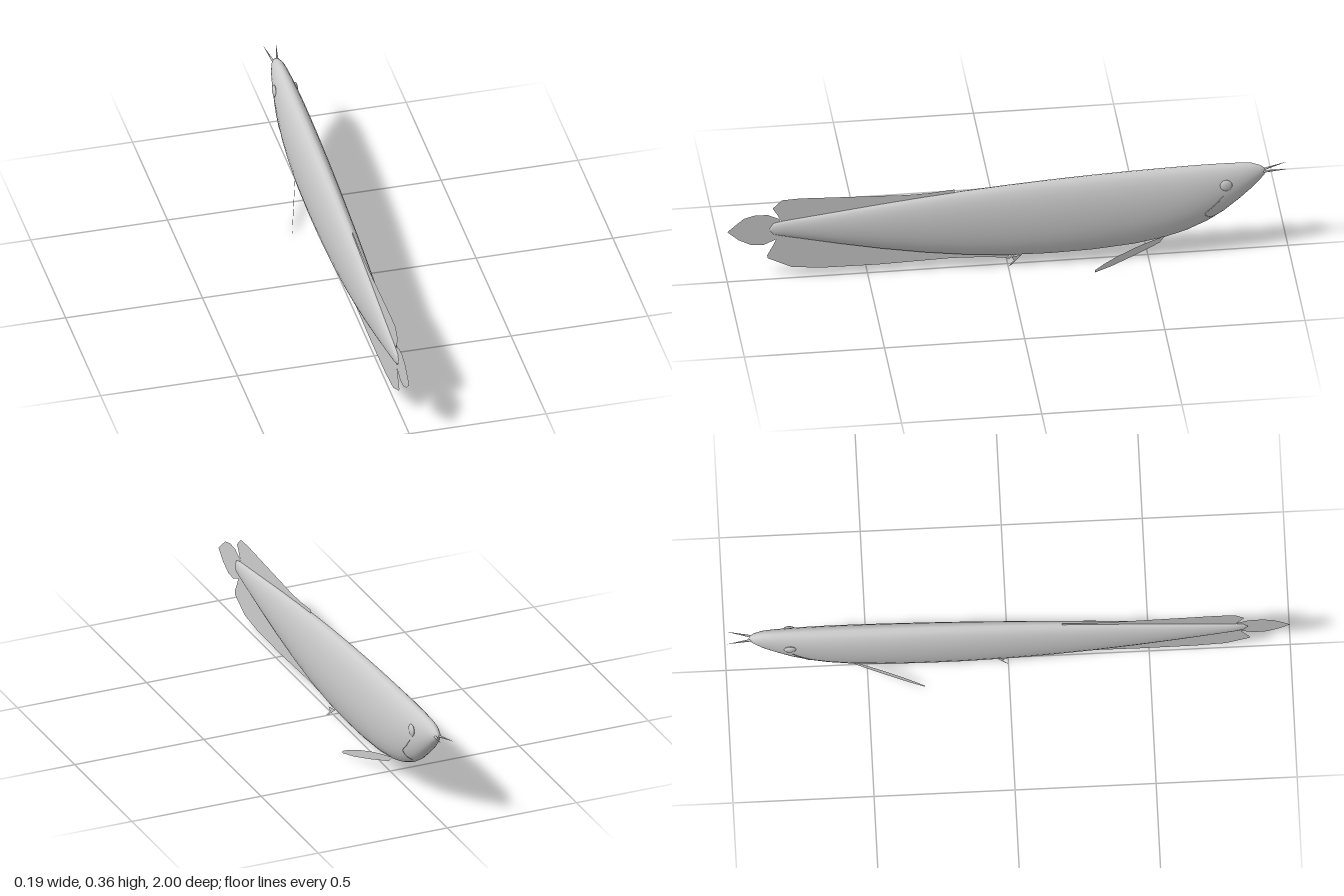
import * as THREE from 'three';

// Body stations, head to tail: z, top y, bottom y, half width
const STATIONS = [
  [-0.92, 0.322, 0.318, 0.001], [-0.915, 0.333, 0.305, 0.01], [-0.9, 0.343, 0.288, 0.018],
  [-0.87, 0.354, 0.255, 0.027], [-0.83, 0.357, 0.218, 0.034], [-0.77, 0.358, 0.168, 0.041],
  [-0.71, 0.358, 0.13, 0.046], [-0.64, 0.357, 0.098, 0.05], [-0.56, 0.355, 0.073, 0.052],
  [-0.45, 0.352, 0.053, 0.053], [-0.3, 0.346, 0.04, 0.052], [-0.15, 0.338, 0.036, 0.05],
  [0, 0.328, 0.039, 0.046], [0.15, 0.316, 0.052, 0.042], [0.3, 0.301, 0.073, 0.037],
  [0.45, 0.284, 0.1, 0.031], [0.6, 0.265, 0.132, 0.024], [0.72, 0.25, 0.16, 0.018],
  [0.8, 0.24, 0.178, 0.013], [0.835, 0.233, 0.187, 0.009], [0.85, 0.21, 0.206, 0.001],
];

// Interpolated body section at z
function section(z) {
  let i = 0;
  while (i < STATIONS.length - 2 && STATIONS[i + 1][0] < z) i++;
  const a = STATIONS[i], b = STATIONS[i + 1];
  const t = (z - a[0]) / (b[0] - a[0]);
  return a.map((v, k) => v + (b[k] - v) * t);
}

// Half width of the body surface at (z, y)
function surfaceX(z, y) {
  const [, top, bottom, w] = section(z);
  const s = (y - (top + bottom) / 2) / ((top - bottom) / 2);
  return w * Math.sqrt(Math.max(0, 1 - s * s));
}

function bodyGeometry() {
  const sides = 24, pos = [], index = [];
  STATIONS.forEach(([z, top, bottom, w], i) => {
    for (let j = 0; j < sides; j++) {
      const a = (j / sides) * Math.PI * 2;
      pos.push(w * Math.cos(a), (top + bottom) / 2 + ((top - bottom) / 2) * Math.sin(a), z);
      if (i === STATIONS.length - 1) continue;
      const p = i * sides + j, q = i * sides + ((j + 1) % sides);
      index.push(p, q, p + sides, q, q + sides, p + sides);
    }
  });
  const g = new THREE.BufferGeometry();
  g.setAttribute('position', new THREE.Float32BufferAttribute(pos, 3));
  g.setIndex(index);
  g.computeVertexNormals();
  return g;
}

// Flat fin from a (z, y) outline; xOf gives its sideways lean
function finGeometry(outline, xOf = () => 0) {
  const g = new THREE.ShapeGeometry(new THREE.Shape(outline.map(([z, y]) => new THREE.Vector2(z, y))));
  const p = g.attributes.position;
  for (let i = 0; i < p.count; i++) {
    const z = p.getX(i);
    p.setXYZ(i, xOf(z), p.getY(i), z);
  }
  g.computeVertexNormals();
  return g;
}

export function createModel() {
  const model = new THREE.Group();
  const skin = new THREE.MeshStandardMaterial({ color: 0xcccccc, side: THREE.DoubleSide });
  skin.name = 'paleGrey';
  const add = (name, geometry) => {
    const mesh = new THREE.Mesh(geometry, skin);
    mesh.name = name;
    model.add(mesh);
    return mesh;
  };

  add('body', bodyGeometry());

  // Fins on the centre line
  add('dorsalFin', finGeometry([
    [0.19, 0.3], [0.19, 0.325], [0.28, 0.317], [0.36, 0.315], [0.46, 0.319], [0.62, 0.325],
    [0.74, 0.33], [0.805, 0.327], [0.838, 0.295], [0.822, 0.268], [0.8, 0.225],
  ]));
  add('analFin', finGeometry([
    [-0.01, 0.045], [0, 0.026], [0.1, 0.035], [0.2, 0.039], [0.32, 0.036], [0.46, 0.032], [0.66, 0.034],
    [0.77, 0.045], [0.855, 0.088], [0.858, 0.1], [0.837, 0.14], [0.81, 0.2], [0.4, 0.125],
  ]));
  add('tailFin', finGeometry([
    [0.8, 0.21], [0.815, 0.25], [0.855, 0.269], [0.9, 0.271], [0.94, 0.26], [0.97, 0.235], [1, 0.208],
    [0.96, 0.172], [0.915, 0.148], [0.87, 0.145], [0.82, 0.168],
  ]));

  // Paired parts
  for (const [label, s] of [['left', 1], ['right', -1]]) {
    add(label + 'PectoralFin', finGeometry([
      [-0.56, 0.085], [-0.54, 0.062], [-0.45, 0.034], [-0.36, 0.01], [-0.3, 0],
      [-0.3, 0.009], [-0.335, 0.027], [-0.385, 0.046], [-0.46, 0.067], [-0.5, 0.075],
    ], (z) => s * (0.022 + (z + 0.545) * 0.3)));

    add(label + 'PelvicFin', finGeometry(
      [[-0.05, 0.042], [-0.012, 0.04], [-0.02, 0.025], [0, 0.004], [-0.012, 0.008]],
      (z) => s * (0.025 + z * 0.26)));

    const eye = add(label + 'Eye', new THREE.SphereGeometry(0.022, 16, 12));
    eye.scale.x = 0.35;
    eye.position.set(s * surfaceX(-0.775, 0.292), 0.292, -0.775);

    // Gill edge lying on the cheek
    const edge = [[-0.765, 0.25], [-0.735, 0.215], [-0.7, 0.178], [-0.715, 0.16], [-0.735, 0.155]]
      .map(([z, y]) => new THREE.Vector3(s * surfaceX(z, y), y, z));
    add(label + 'GillEdge', new THREE.TubeGeometry(new THREE.CatmullRomCurve3(edge), 20, 0.0015, 5));

    // Tapered whisker at the snout
    const from = new THREE.Vector3(s * 0.006, 0.32, -0.905);
    const dir = new THREE.Vector3(s * 0.024, 0.336, -1).sub(from);
    const whisker = add(label + 'Whisker', new THREE.ConeGeometry(0.005, dir.length(), 8));
    whisker.position.copy(from).addScaledVector(dir, 0.5);
    whisker.quaternion.setFromUnitVectors(new THREE.Vector3(0, 1, 0), dir.normalize());
  }
  return model;
}
